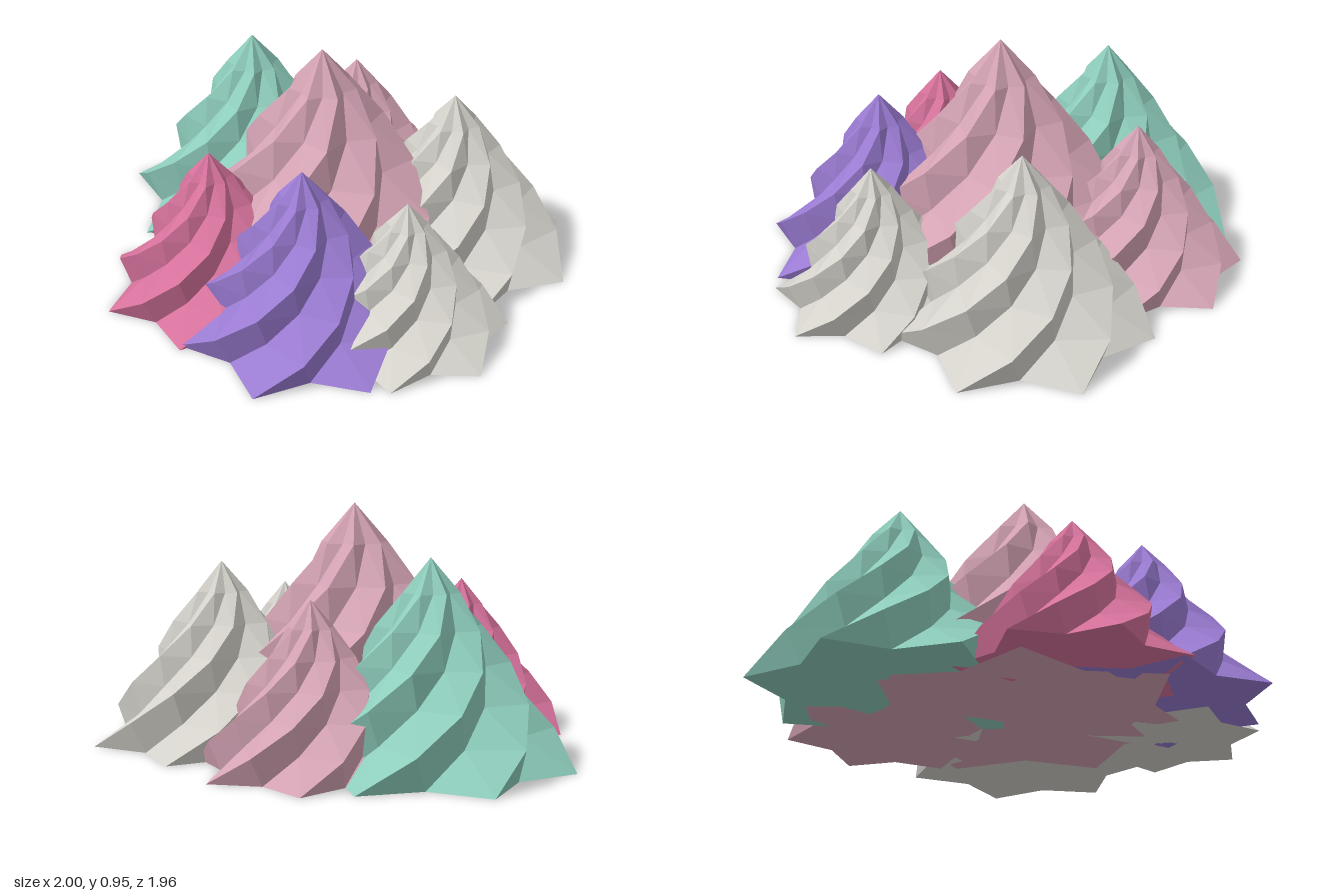
import * as THREE from 'three';

const POINTS = 7;      // ridges on every swirl
const LAYERS = 6;      // rings from base to tip
const TWIST = 2.32;    // total turn from base to tip, radians
const VALLEY = 0.75;   // valley radius relative to ridge radius

// Twisted star-shaped cone with a flat base; phase is the angle of a base ridge
function swirlGeometry(radius, height, phaseDeg) {
  const n = POINTS * 2;
  const pos = [];
  const index = [];
  for (let i = 0; i < LAYERS; i++) {
    const f = i / LAYERS;
    const r = radius * Math.pow(1 - f, 0.9);
    for (let j = 0; j < n; j++) {
      const a = THREE.MathUtils.degToRad(phaseDeg) + (j / n) * Math.PI * 2 + f * TWIST;
      const rr = j % 2 ? r * VALLEY : r;
      pos.push(Math.cos(a) * rr, f * height, -Math.sin(a) * rr);
    }
  }
  const tip = LAYERS * n;
  const base = tip + 1;
  pos.push(0, height, 0, 0, 0, 0);

  for (let j = 0; j < n; j++) {
    const k = (j + 1) % n;
    // side bands
    for (let i = 0; i < LAYERS - 1; i++) {
      const a = i * n + j, b = i * n + k;
      index.push(a, b, a + n, b, b + n, a + n);
    }
    // tip and base
    index.push(tip - n + j, tip - n + k, tip);
    index.push(k, j, base);
  }
  const g = new THREE.BufferGeometry();
  g.setAttribute('position', new THREE.Float32BufferAttribute(pos, 3));
  g.setIndex(index);
  const flat = g.toNonIndexed();
  flat.computeVertexNormals();
  return flat;
}

export function createModel() {
  const group = new THREE.Group();
  group.name = 'swirlCluster';

  const material = (name, color) => {
    const m = new THREE.MeshStandardMaterial({ color });
    m.name = name;
    return m;
  };
  const pink = material('pink', 0xd4a3b4);
  const teal = material('teal', 0x8ecdbc);
  const grey = material('warmGrey', 0xd4d2cb);
  const purple = material('purple', 0x9a7bd2);
  const rose = material('rose', 0xd6729c);

  // name, material, x, z, radius, height, base ridge angle
  const swirls = [
    ['centreSwirl', pink, 0, 0, 0.69, 0.95, 0],
    ['backSwirl', pink, -0.05, -0.55, 0.45, 0.63, 6],
    ['backRightSwirl', teal, -0.44, -0.33, 0.56, 0.78, 30.5],
    ['frontRightSwirl', rose, -0.33, 0.37, 0.45, 0.62, 20],
    ['frontSwirl', purple, 0.1, 0.48, 0.5, 0.69, 12.5],
    ['frontLeftSwirl', grey, 0.48, 0.37, 0.41, 0.57, 24],
    ['backLeftSwirl', grey, 0.48, -0.23, 0.525, 0.72, 41.5],
  ];
  for (const [name, mat, x, z, radius, height, phase] of swirls) {
    const mesh = new THREE.Mesh(swirlGeometry(radius, height, phase), mat);
    mesh.name = name;
    mesh.position.set(x, 0, z);
    group.add(mesh);
  }
  return group;
}
